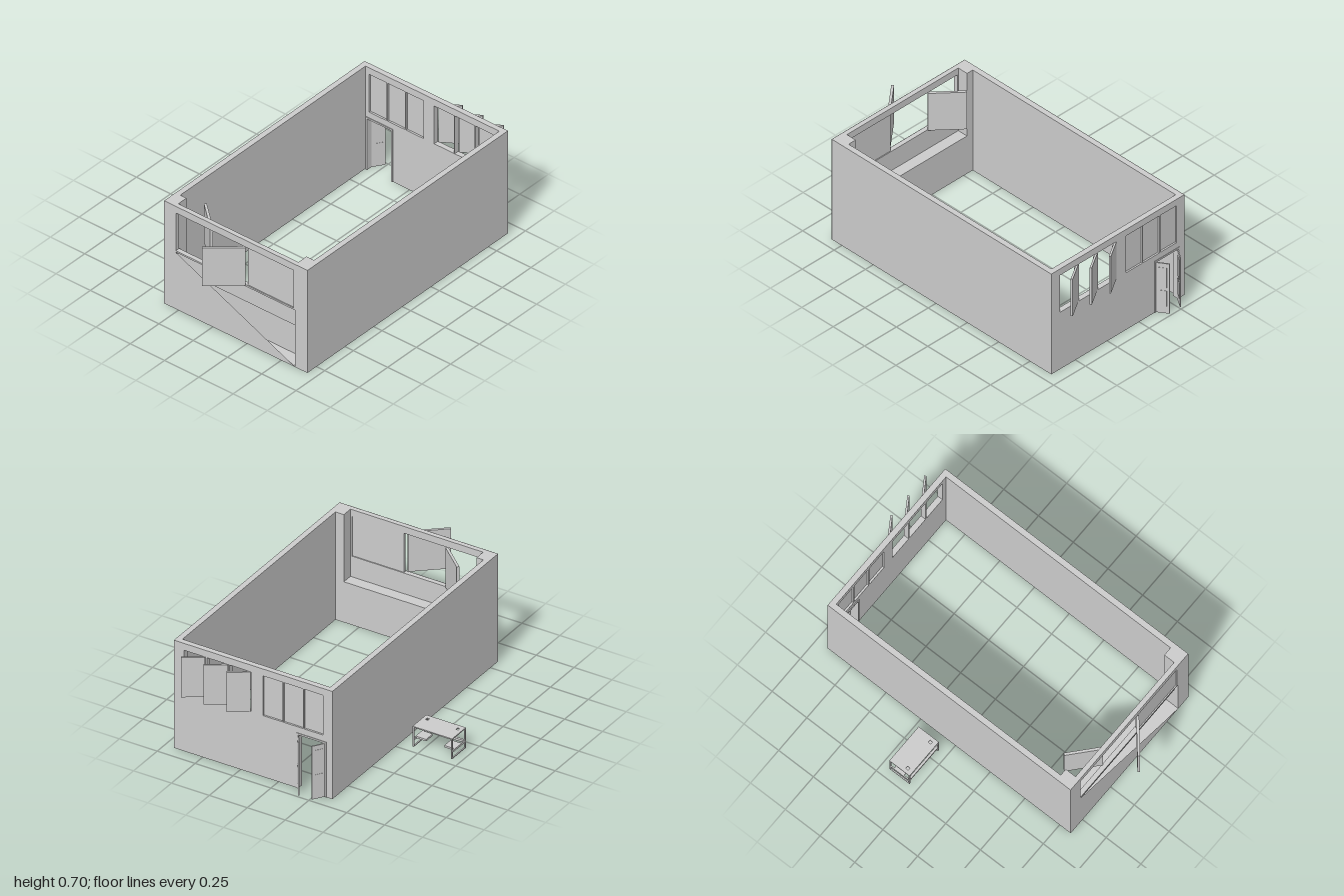
import * as THREE from 'three';

const mat = new THREE.MeshStandardMaterial({ color: 0xcccccc, side: THREE.DoubleSide, flatShading: true });

// Box given by its minimum and maximum corners
function box(parent, name, [x0, y0, z0], [x1, y1, z1]) {
  const m = new THREE.Mesh(new THREE.BoxGeometry(x1 - x0, y1 - y0, z1 - z0), mat);
  m.position.set((x0 + x1) / 2, (y0 + y1) / 2, (z0 + z1) / 2);
  m.name = name;
  parent.add(m);
  return m;
}

const points = (list) => list.map(([x, y]) => new THREE.Vector2(x, y));
const rect = (x0, y0, x1, y1) => [[x0, y0], [x1, y0], [x1, y1], [x0, y1]];

function shape(outline, holes = []) {
  const s = new THREE.Shape(points(outline));
  for (const h of holes) s.holes.push(new THREE.Path(points(h)));
  return s;
}

// Upright slab with openings, between z0 and z1
function slab(parent, name, outline, holes, z0, z1) {
  const g = new THREE.ExtrudeGeometry(shape(outline, holes), { depth: z1 - z0, bevelEnabled: false });
  const m = new THREE.Mesh(g.translate(0, 0, z0), mat);
  m.name = name;
  parent.add(m);
}

// Hinged leaf: runs from the hinge (x, z) along the direction (dx, dz)
function leaf(parent, name, x, z, dx, dz, y0, y1, t) {
  const w = Math.hypot(dx, dz);
  const g = new THREE.Group();
  g.name = name;
  g.position.set(x, 0, z);
  g.rotation.y = Math.atan2(-dz, dx);
  box(g, name + 'Panel', [0, y0, -t / 2], [w, y1, t / 2]);
  parent.add(g);
  return { g, w };
}

const X0 = -0.355, X1 = 0.69, H = 0.705, WY0 = 0.4, WY1 = 0.66;

function buildFrontWall(root) {
  const g = new THREE.Group();
  g.name = 'frontWall';
  root.add(g);
  const win = rect(-0.27, WY0, 0.59, WY1);
  // Outer skin with the window and the triangular opening below it
  const skin = new THREE.Mesh(new THREE.ShapeGeometry(
    shape(rect(X0, 0, X1, H), [win, [[-0.27, 0.39], [0.6, 0.39], [0.6, 0.001]]])), mat);
  skin.position.z = 0.83;
  skin.name = 'frontSkin';
  g.add(skin);
  // Window surround, side pillars and the hollow stepped base
  slab(g, 'windowSurround', rect(-0.275, 0.39, 0.6, H), [win], 0.8, 0.829);
  box(g, 'rightPillar', [X0, 0, 0.73], [-0.275, H, 0.829]);
  box(g, 'leftPillar', [0.6, 0, 0.73], [X1, H, 0.829]);
  box(g, 'nicheBack', [-0.275, 0.265, 0.8], [0.6, 0.39, 0.803]);
  box(g, 'nicheLedge', [-0.275, 0.262, 0.73], [0.6, 0.265, 0.803]);
  box(g, 'innerApron', [-0.275, 0, 0.73], [0.6, 0.265, 0.733]);
  box(g, 'baseBottom', [-0.275, 0, 0.73], [0.6, 0.002, 0.829]);
  // One fixed pane and two swung leaves
  box(g, 'fixedPane', [0.25, WY0, 0.806], [0.59, WY1, 0.822]);
  leaf(g, 'inwardLeaf', -0.035, 0.8, -0.165, -0.145, WY0, WY1, 0.016);
  leaf(g, 'outwardLeaf', 0.24, 0.83, -0.185, 0.158, WY0, WY1, 0.016);
}

function buildBackWall(root) {
  const g = new THREE.Group();
  g.name = 'backWall';
  root.add(g);
  const outline = [[X0, 0], [-0.31, 0], [-0.31, 0.355], [-0.125, 0.355], [-0.125, 0], [X1, 0], [X1, H], [X0, H]];
  const holes = [];
  for (let i = 0; i < 3; i++) {
    const a = 0.18 + i * 0.15, b = -0.295 + i * 0.135;
    holes.push(rect(a, WY0, a + 0.143, WY1), rect(b, WY0, b + 0.128, WY1));
    leaf(g, 'openWindowLeaf', a + 0.005, -0.918, 0.115, -0.073, WY0, WY1, 0.012);
    box(g, 'closedPane', [b, WY0, -0.909], [b + 0.128, WY1, -0.898]);
  }
  slab(g, 'backPanel', outline, holes, -0.92, -0.886);
  // Door frame, standing slightly proud on both faces
  slab(g, 'doorFrame', [[-0.315, 0], [-0.304, 0], [-0.304, 0.35], [-0.131, 0.35], [-0.131, 0],
    [-0.12, 0], [-0.12, 0.361], [-0.315, 0.361]], [], -0.923, -0.881);
  // Pair of open doors with raised panels
  for (const s of [1, -1]) {
    const { g: door, w } = leaf(g, 'door', -0.2175 - s * 0.087, -0.918, s * 0.045, -0.068, 0.002, 0.35, 0.007);
    for (const [y0, y1] of [[0.05, 0.16], [0.18, 0.32]])
      box(door, 'doorInset', [w * 0.2, y0, -0.005], [w * 0.8, y1, 0.005]);
  }
}

function buildTable(root) {
  const g = new THREE.Group();
  g.name = 'table';
  g.position.set(-0.565, 0, 0);
  root.add(g);
  // Top with two small cut-outs
  const hole = (x) => rect(x - 0.008, 0.082, x + 0.008, 0.1);
  const top = new THREE.Mesh(new THREE.ExtrudeGeometry(
    shape(rect(-0.13, 0.055, 0.13, 0.2), [hole(-0.1), hole(0.1)]), { depth: 0.007, bevelEnabled: false }), mat);
  top.rotation.x = -Math.PI / 2;
  top.position.y = 0.126;
  top.name = 'tableTop';
  g.add(top);
  // Frame at each end with a low shelf
  for (const s of [-1, 1]) {
    const end = new THREE.Group();
    end.name = 'endFrame';
    end.scale.x = s;
    g.add(end);
    for (const z of [-0.2, -0.063]) box(end, 'leg', [0.122, 0, z], [0.13, 0.126, z + 0.008]);
    box(end, 'endRail', [0.122, 0.04, -0.195], [0.13, 0.053, -0.058]);
    box(end, 'footRail', [0.122, 0, -0.195], [0.13, 0.006, -0.058]);
    box(end, 'lowShelf', [0.06, 0.041, -0.17], [0.122, 0.053, -0.1]);
  }
  box(g, 'crossRail', [-0.124, 0.04, -0.07], [0.124, 0.054, -0.056]);
}

export function createModel() {
  const root = new THREE.Group();
  root.name = 'room';
  // Long side walls
  box(root, 'rightWall', [X0, 0, -0.886], [-0.32, H, 0.73]);
  box(root, 'leftWall', [0.655, 0, -0.886], [X1, H, 0.73]);
  buildFrontWall(root);
  buildBackWall(root);
  buildTable(root);
  return root;
}
